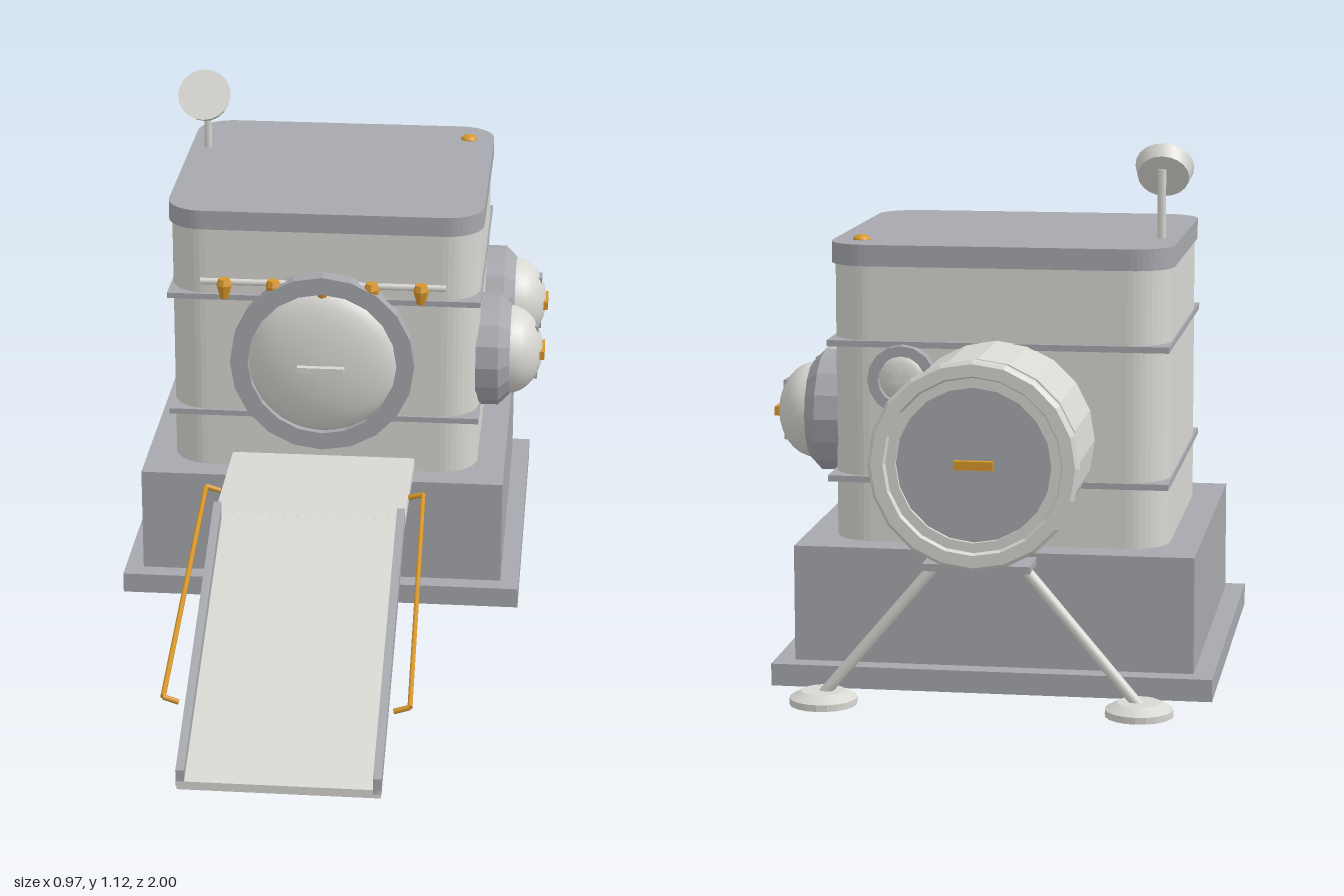
import * as THREE from 'three';
import { toCreasedNormals } from 'three/addons/utils/BufferGeometryUtils.js';

const mat = (name, color) => {
  const m = new THREE.MeshStandardMaterial({ color });
  m.name = name;
  return m;
};

export function createModel() {
  const light = mat('light grey', 0xd8d7d2);
  const grey = mat('mid grey', 0xa6a8ad);
  const amber = mat('amber', 0xd9982b);

  const root = new THREE.Group();
  root.name = 'habitat';
  const model = new THREE.Group();
  model.name = 'habitatParts';
  model.position.x = -0.023;
  root.add(model);

  const add = (name, geo, material, x = 0, y = 0, z = 0, parent = model) => {
    const m = new THREE.Mesh(geo, material);
    m.name = name;
    m.position.set(x, y, z);
    parent.add(m);
    return m;
  };
  const box = (name, w, h, d, material, x, y, z, parent) =>
    add(name, new THREE.BoxGeometry(w, h, d), material, x, y, z, parent);
  // turned profile, faceted unless the crease angle is widened
  const lathe = (pts, sides, crease = 0.2) => toCreasedNormals(
    new THREE.LatheGeometry(pts.map(p => new THREE.Vector2(...p)), sides), crease);
  // spherical cap profile from the rim up to the pole
  const cap = (r, h, y0) => Array.from({ length: 9 }, (_, i) => {
    const a = i / 8 * Math.PI / 2;
    return [i === 8 ? 0 : r * Math.cos(a), y0 + h * Math.sin(a)];
  });
  // straight bar between two points
  const bar = (name, a, b, r, material, sides = 8) => {
    const p = new THREE.Vector3(...a), q = new THREE.Vector3(...b), d = q.clone().sub(p);
    const m = add(name, new THREE.CylinderGeometry(r, r, d.length(), sides), material);
    m.position.copy(p).add(q).multiplyScalar(0.5);
    m.quaternion.setFromUnitVectors(new THREE.Vector3(0, 1, 0), d.normalize());
    return m;
  };
  // upright slab with rounded corners
  const roundedSlab = (w, d, h, r) => {
    const s = new THREE.Shape(), x = w / 2, y = d / 2;
    s.moveTo(-x + r, -y);
    s.absarc(x - r, -y + r, r, -Math.PI / 2, 0);
    s.absarc(x - r, y - r, r, 0, Math.PI / 2);
    s.absarc(-x + r, y - r, r, Math.PI / 2, Math.PI);
    s.absarc(-x + r, -y + r, r, Math.PI, Math.PI * 1.5);
    return new THREE.ExtrudeGeometry(s, { depth: h, bevelEnabled: false, curveSegments: 5 })
      .rotateX(-Math.PI / 2);
  };

  // foundation
  box('baseSlab', 0.93, 0.047, 0.88, grey, 0, 0.0235, -0.35);
  box('baseBlock', 0.845, 0.25, 0.795, grey, 0, 0.168, -0.35);

  // cabin, roof and square trim bands
  add('cabin', roundedSlab(0.715, 0.665, 0.6, 0.085), light, 0, 0.29, -0.347);
  add('roof', roundedSlab(0.727, 0.682, 0.045, 0.085), grey, 0, 0.88, -0.347);
  for (const y of [0.427, 0.716]) box('trimBand', 0.722, 0.013, 0.68, grey, 0, y, -0.347);
  add('roofLamp', new THREE.SphereGeometry(0.02, 12, 6, 0, Math.PI * 2, 0, Math.PI / 2)
    .scale(1, 0.6, 1), amber, 0.303, 0.924, -0.59);

  // front hatch
  const hatch = new THREE.Group();
  hatch.name = 'frontHatch';
  hatch.position.set(0, 0.57, 0);
  model.add(hatch);
  add('hatchRing', lathe([[0.172, -0.02], [0.213, -0.02], [0.213, 0.026], [0.172, 0.026], [0.172, -0.02]], 20)
    .rotateX(Math.PI / 2), grey, 0, 0, 0, hatch);
  add('hatchDome', lathe(cap(0.174, 0.052, 0), 32, 1).rotateX(Math.PI / 2), light, 0, 0, 0, hatch);
  box('hatchHandle', 0.108, 0.013, 0.02, light, 0, 0, 0.056, hatch);

  // lamp rail over the hatch
  bar('lampRail', [-0.282, 0.757, 0], [0.283, 0.757, 0], 0.008, light);
  for (let i = -2; i <= 2; i++) {
    add('railLamp', lathe([[0, -0.024], [0.01, -0.024], [0.018, 0.008], [0.013, 0.022], [0, 0.022]], 8),
      amber, i * 0.113, 0.745, 0.008);
  }

  // domed side windows
  for (const z of [-0.18, -0.505]) {
    const pod = new THREE.Group();
    pod.name = 'sidePod';
    pod.position.set(0.35, 0.543, z);
    model.add(pod);
    add('podCollar', lathe([[0.132, 0], [0.132, 0.052], [0.106, 0.078], [0.09, 0.078]], 16)
      .rotateZ(-Math.PI / 2), grey, 0, 0, 0, pod);
    add('podDome', lathe(cap(0.104, 0.08, 0.073), 32, 1).rotateZ(-Math.PI / 2), light, 0, 0, 0, pod);
    box('podBrace', 0.013, 0.13, 0.04, grey, 0.135, 0, 0, pod);
    box('podHandle', 0.013, 0.02, 0.08, amber, 0.151, 0, 0, pod);
  }

  // rear airlock tunnel, pointing backwards
  const tunnel = new THREE.Group();
  tunnel.name = 'rearAirlock';
  tunnel.position.set(0, 0.522, 0);
  tunnel.rotation.x = -Math.PI / 2;
  model.add(tunnel);
  add('tunnelShell', lathe([[0.206, 0.66], [0.206, 0.928], [0, 0.928]], 20), light, 0, 0, 0, tunnel);
  add('tunnelCollar', lathe([[0.187, 0.92], [0.187, 0.98]], 20), grey, 0, 0, 0, tunnel);
  add('tunnelFlange', lathe([[0.18, 0.972], [0.207, 0.972], [0.214, 0.978], [0.214, 0.994],
    [0.207, 1], [0.182, 1], [0.178, 0.99], [0.158, 0.99], [0.158, 0.975]], 20), light, 0, 0, 0, tunnel);
  add('airlockDoor', lathe([[0.165, 0.97], [0.165, 0.981], [0, 0.981]], 20), grey, 0, 0, 0, tunnel);
  box('airlockHandle', 0.08, 0.015, 0.018, amber, 0, 0.987, 0, tunnel);

  // small round window on the back wall
  add('portholeRing', lathe([[0.072, 0], [0.072, 0.036], [0.05, 0.036], [0.05, 0.012]], 16)
    .rotateX(-Math.PI / 2), grey, 0.198, 0.645, -0.675);
  add('portholeGlass', lathe(cap(0.052, 0.016, 0.014), 20, 1)
    .rotateX(-Math.PI / 2), light, 0.198, 0.645, -0.675);

  // airlock stand
  box('standPlate', 0.22, 0.015, 0.095, grey, 0, 0.304, -0.911);
  box('standSaddle', 0.1, 0.02, 0.05, grey, 0, 0.315, -0.895);
  for (const s of [-1, 1]) {
    bar('standLeg', [s * 0.09, 0.3, -0.911], [s * 0.327, 0.02, -0.911], 0.012, light);
    add('standFoot', lathe([[0, 0], [0.07, 0], [0.07, 0.014], [0.045, 0.028], [0, 0.028]], 20),
      light, s * 0.327, 0, -0.911);
  }

  // landing and ramp
  box('landing', 0.427, 0.024, 0.345, light, 0, 0.313, 0.15);
  const sideProfile = (pts, w) => {
    const s = new THREE.Shape(pts.map(([z, y]) => new THREE.Vector2(-z, y)));
    return new THREE.ExtrudeGeometry(s, { depth: w, bevelEnabled: false })
      .translate(0, 0, -w / 2).rotateY(Math.PI / 2);
  };
  add('rampDeck', sideProfile([[1, 0.003], [0.32, 0.303], [0.32, 0.326], [1, 0.022]], 0.427), light);
  for (const s of [-1, 1]) {
    add('rampKerb', sideProfile([[1, 0.012], [0.345, 0.305], [0.33, 0.355], [1, 0.048]], 0.018),
      grey, s * 0.206, 0, 0);
    // bent handrail
    const path = [[0.215, 0.327, 0.21], [0.248, 0.337, 0.212], [0.262, 0.131, 0.838], [0.228, 0.121, 0.84]]
      .map(([x, y, z]) => [s * x, y, z]);
    for (let i = 0; i < 3; i++) bar('handrail', path[i], path[i + 1], 0.006, amber, 6);
  }

  // dish antenna
  bar('antennaMast', [-0.322, 0.92, -0.475], [-0.322, 1.07, -0.475], 0.009, light);
  const dish = add('antennaDish', lathe([[0, -0.017], [0.055, -0.017], [0.063, 0.017], [0, 0.017]], 20, 0.6),
    light, -0.322, 1.063, -0.432);
  dish.rotation.x = THREE.MathUtils.degToRad(55);

  return root;
}
